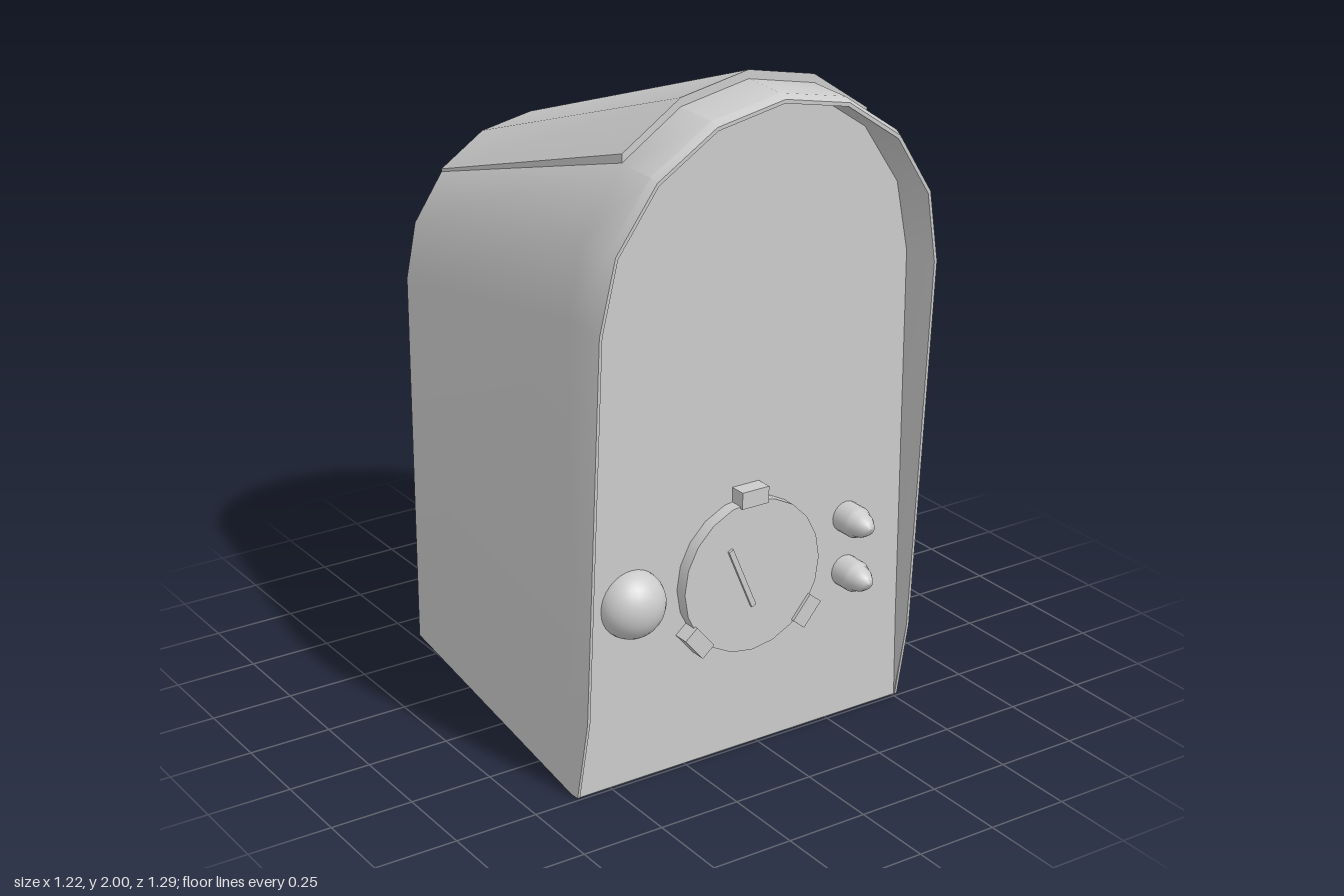
import * as THREE from 'three';
import { toCreasedNormals } from 'three/addons/utils/BufferGeometryUtils.js';

const CX = -0.045; // centre line of the housing
const PANEL_Z = 0.488; // recessed front panel
const material = new THREE.MeshStandardMaterial({ color: 0xcccccc });

function add(parent, name, geometry, x = 0, y = 0, z = 0) {
  const mesh = new THREE.Mesh(geometry, material);
  mesh.name = name;
  mesh.position.set(x, y, z);
  parent.add(mesh);
  return mesh;
}

// Skin closed sections from back to front; the ends are filled by pairing opposite points.
function loft(sections) {
  const n = sections[0].length, last = (sections.length - 1) * n, index = [];
  for (let j = 0; j < sections.length - 1; j++) {
    for (let i = 0; i < n; i++) {
      const a = j * n + i, b = j * n + (i + 1) % n;
      index.push(a, b, a + n, b, b + n, a + n);
    }
  }
  for (let i = 0; i < Math.floor(n / 2); i++) {
    const m = n - 1 - i;
    if (i + 1 >= m) continue;
    index.push(last + i, last + i + 1, last + m, i, m, i + 1);
    if (i + 1 < m - 1) index.push(last + i + 1, last + m - 1, last + m, i + 1, m, m - 1);
  }
  const geometry = new THREE.BufferGeometry();
  geometry.setAttribute('position', new THREE.Float32BufferAttribute(sections.flat(2), 3));
  geometry.setIndex(index);
  return toCreasedNormals(geometry, 0.5);
}

// The rim leans forward, with a short tuck near the foot.
const rimZ = (y) => (y < 0.25 ? 0.49 + 0.2 * y : 0.54 + 0.062 * (y - 0.25));

// Arch points from +x over the top to -x.
function arc(r, cy, start, end, steps) {
  return Array.from({ length: steps + 1 }, (_, i) => {
    const a = start + (end - start) * i / steps;
    return [CX + r * Math.cos(a), cy + r * Math.sin(a)];
  });
}

function bodySection(r, cy, footR, zAt) {
  const kneeR = (r + footR) / 2;
  return [
    [CX + footR, 0], [CX + kneeR, 0.25],
    ...arc(r, cy, 0, Math.PI, 8),
    [CX - kneeR, 0.25], [CX - footR, 0],
  ].map(([x, y]) => [x, y, zAt(y)]);
}

function roofSection(r, cy, z) {
  const outer = arc(r, cy, Math.PI / 4, Math.PI * 3 / 4, 4);
  const inner = outer.map(([x, y]) => [x, y - 0.028]).reverse();
  return [...outer, ...inner].map(([x, y]) => [x, y, z]);
}

export function createModel() {
  const model = new THREE.Group();
  model.name = 'housing';

  // Tapered arched body; the thin rim hoods a flat, upright front panel
  add(model, 'body', loft([
    bodySection(0.437, 1.18, 0.437, () => -0.64),
    bodySection(0.565, 1.41, 0.565, (y) => Math.min(0.48, rimZ(y) - 0.03)),
    bodySection(0.562, 1.407, 0.565, (y) => rimZ(y) - 0.025),
    bodySection(0.555, 1.402, 0.563, rimZ),
    bodySection(0.546, 1.4, 0.555, rimZ),
    bodySection(0.546, 1.4, 0.553, () => PANEL_Z),
  ]));

  // Raised roof plate
  add(model, 'roofPlate', loft([
    roofSection(0.438, 1.187, -0.64),
    roofSection(0.563, 1.437, 0.48),
  ]));

  // Bulging side cover, lying along the tapered wall
  const profile = new THREE.Shape();
  profile.moveTo(-0.01, 0.125);
  profile.lineTo(0.025, 0.125);
  profile.lineTo(0.032, 0.195);
  profile.lineTo(0.048, 0.202);
  profile.quadraticCurveTo(0.102, 0.5, 0.105, 0.68);
  profile.lineTo(0.105, 1.02);
  profile.lineTo(0.075, 1.055);
  profile.lineTo(-0.01, 1.055);
  const cover = new THREE.ExtrudeGeometry(profile, { depth: 0.888, bevelEnabled: false, curveSegments: 8 });
  add(model, 'sideCover', toCreasedNormals(cover, 0.4), 0.405, 0, -0.525).rotation.y = 0.115;

  // Controls on the front panel
  const controls = new THREE.Group();
  controls.name = 'controls';
  controls.position.set(CX, 0.55, PANEL_Z);
  model.add(controls);

  const disc = new THREE.CylinderGeometry(0.23, 0.23, 0.08, 20).rotateX(Math.PI / 2);
  add(controls, 'dial', toCreasedNormals(disc, 0.5));
  add(controls, 'needle', new THREE.BoxGeometry(0.016, 0.205, 0.02), -0.04, 0.005, 0.038).rotation.z = 0.4;

  // Three clips around the dial
  for (const degrees of [90, 220, 320]) {
    const a = THREE.MathUtils.degToRad(degrees);
    const clip = add(controls, 'dialClip', new THREE.BoxGeometry(0.05, 0.09, 0.1),
      0.242 * Math.cos(a), 0.242 * Math.sin(a), 0);
    clip.rotation.z = a;
  }

  // Domed button
  add(controls, 'domeButton', new THREE.SphereGeometry(0.1, 24, 16), -0.38, 0, 0).scale.z = 0.88;

  // Two small bullet-shaped knobs
  const knobProfile = [[0.047, -0.02], [0.047, 0.055], [0.04, 0.062], [0.035, 0.085], [0.019, 0.11], [0, 0.117]]
    .map(([r, h]) => new THREE.Vector2(r, h));
  for (const y of [0.08, -0.09]) {
    add(controls, 'knob', new THREE.LatheGeometry(knobProfile, 20).rotateX(Math.PI / 2), 0.355, y, 0);
  }

  return model;
}
